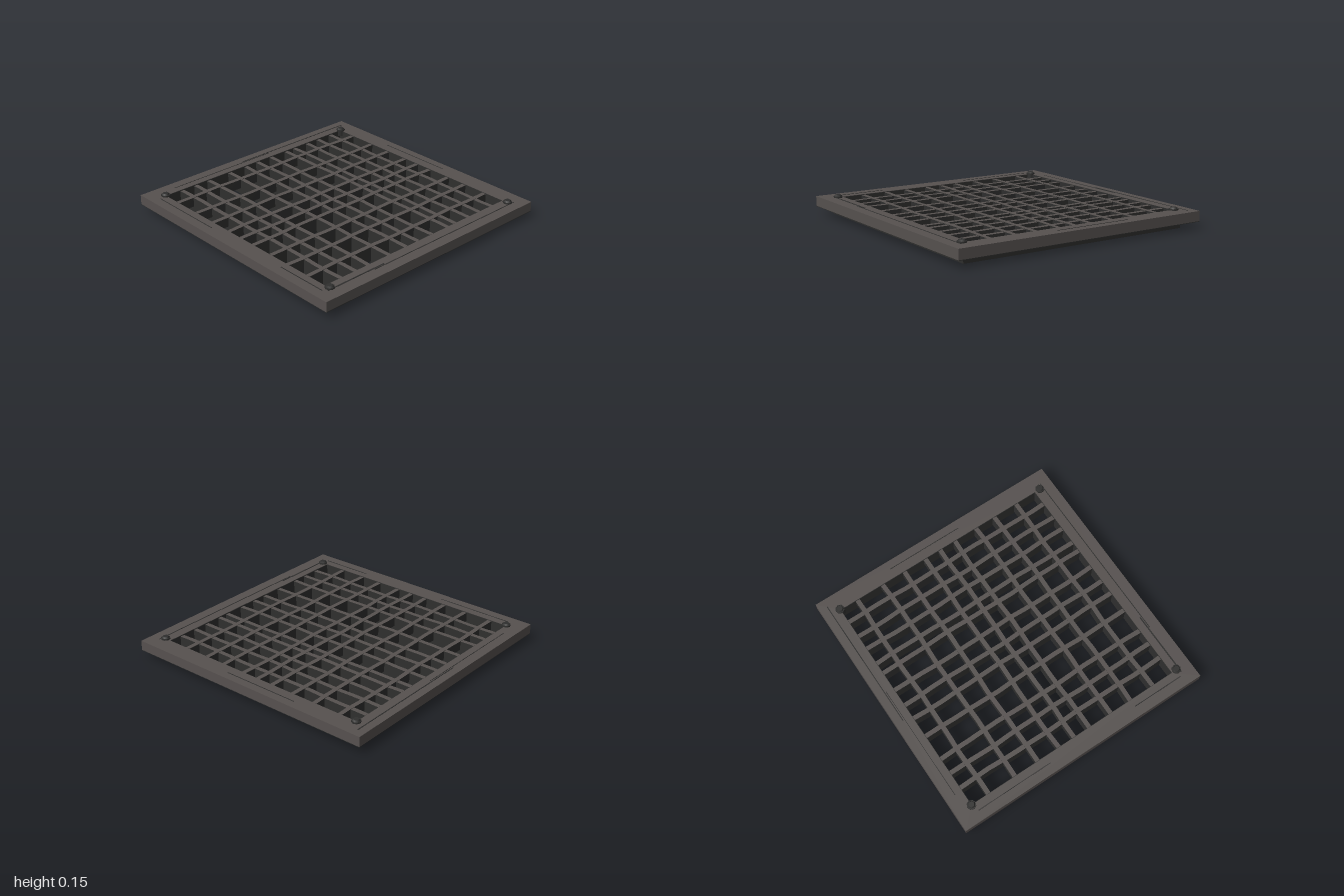
import * as THREE from 'three';

const worn = new THREE.MeshStandardMaterial({ color: 0x56514f });
worn.name = 'wornIron';
const dark = new THREE.MeshStandardMaterial({ color: 0x2f2f2e });
dark.name = 'darkIron';

// Opening in the frame: x0, x1, z0, z1
const OPEN = [-0.87, 0.865, -0.87, 0.845];
const TOP = 0.135;

function rectPath(path, [x0, x1, z0, z1]) {
  path.moveTo(x0, z0);
  path.lineTo(x1, z0);
  path.lineTo(x1, z1);
  path.lineTo(x0, z1);
  path.closePath();
  return path;
}

// Flat rectangular ring between two heights
function ring(name, outer, hole, y0, y1, material) {
  const shape = rectPath(new THREE.Shape(), outer);
  shape.holes.push(rectPath(new THREE.Path(), hole));
  const geo = new THREE.ExtrudeGeometry(shape, { depth: y1 - y0, bevelEnabled: false });
  geo.rotateX(Math.PI / 2);
  geo.translate(0, y1, 0);
  const mesh = new THREE.Mesh(geo, material);
  mesh.name = name;
  return mesh;
}

// Slightly uneven bar along x or z, worn on top and dark on the sides
function bar(name, along, pos, depth, seed) {
  const [a, b] = along === 'x' ? [OPEN[0], OPEN[1]] : [OPEN[2], OPEN[3]];
  const top = along === 'x' ? 0.13 : 0.128;
  const len = b - a + 0.02;
  const geo = along === 'x'
    ? new THREE.BoxGeometry(len, depth, 0.034, 14, 1, 1)
    : new THREE.BoxGeometry(0.034, depth, len, 1, 1, 14);
  geo.translate(along === 'x' ? (a + b) / 2 : pos, top - depth / 2, along === 'x' ? pos : (a + b) / 2);
  const p = geo.attributes.position;
  for (let i = 0; i < p.count; i++) {
    const t = along === 'x' ? p.getX(i) : p.getZ(i);
    const wobble = 0.004 * Math.sin(t * 7 + seed * 2.3) + 0.002 * Math.sin(t * 17 + seed);
    if (along === 'x') p.setZ(i, p.getZ(i) + wobble);
    else p.setX(i, p.getX(i) + wobble);
  }
  geo.computeVertexNormals();
  const mesh = new THREE.Mesh(geo, [dark, dark, worn, dark, dark, dark]);
  mesh.name = name;
  return mesh;
}

export function createModel() {
  const model = new THREE.Group();
  model.name = 'floorGrate';

  // Outer frame with its dark underside
  model.add(ring('frame', [-1, 1, -1, 1], OPEN, 0.062, TOP, worn));
  model.add(ring('frameUnderside', [-1, 1, -1, 1], OPEN, 0.058, 0.062, dark));

  // Skirt below the frame, lining the opening and tapering downwards
  const [x0, x1, z0, z1] = OPEN;
  const lining = [x0 + 0.003, x1 - 0.003, z0 + 0.003, z1 - 0.003];
  const skirt = ring('skirt', [-0.915, 0.915, -0.915, 0.915], lining, 0.006, TOP - 0.002, dark);
  const p = skirt.geometry.attributes.position;
  for (let i = 0; i < p.count; i++) {
    if (p.getY(i) > 0.05) continue;
    if (Math.abs(p.getX(i)) > 0.9) p.setX(i, Math.sign(p.getX(i)) * 0.904);
    if (Math.abs(p.getZ(i)) > 0.9) p.setZ(i, Math.sign(p.getZ(i)) * 0.904);
  }
  skirt.geometry.computeVertexNormals();
  model.add(skirt);

  // Deep bars running front to back
  const grid = new THREE.Group();
  grid.name = 'grid';
  [-0.725, -0.6, -0.475, -0.285, -0.125, -0.005, 0.125, 0.285, 0.37, 0.5, 0.62, 0.75]
    .forEach((x, i) => grid.add(bar('longBar', 'z', x, 0.118, i)));

  // Cross bars, shallower towards the back
  [-0.73, -0.505, -0.32, -0.14, -0.005, 0.12, 0.31, 0.48, 0.67]
    .forEach((z, i) => grid.add(bar('crossBar', 'x', z, z > 0.1 ? 0.11 : 0.07, i + 20)));
  model.add(grid);

  // Corner bolts
  [[-0.87, -0.87], [0.87, -0.87], [-0.865, 0.885], [0.865, 0.89]].forEach(([x, z], i) => {
    const bolt = new THREE.Group();
    bolt.name = 'cornerBolt';
    const washer = new THREE.Mesh(new THREE.CylinderGeometry(0.034, 0.036, 0.05, 8), dark);
    washer.position.y = TOP - 0.015;
    const head = new THREE.Mesh(new THREE.CylinderGeometry(0.022, 0.03, 0.012, 6), dark);
    head.position.y = TOP + 0.015;
    washer.name = 'boltWasher';
    head.name = 'boltHead';
    bolt.add(washer, head);
    bolt.position.set(x, 0, z);
    bolt.rotation.y = i * 0.7;
    model.add(bolt);
  });

  // Worn seams on the frame top: centre x, centre z, size x, size z
  [
    [0.42, -0.938, 1.04, 0.007], [-0.3, -0.925, 0.9, 0.004],
    [-0.928, -0.55, 0.005, 0.6], [-0.925, 0.68, 0.006, 0.4],
    [0.937, -0.1, 0.005, 0.6], [0.2, 0.918, 1.4, 0.006], [-0.65, 0.905, 0.5, 0.01],
  ].forEach(([x, z, w, d]) => {
    const seam = new THREE.Mesh(new THREE.BoxGeometry(w, 0.004, d), dark);
    seam.name = 'frameSeam';
    seam.position.set(x, TOP, z);
    model.add(seam);
  });

  return model;
}
